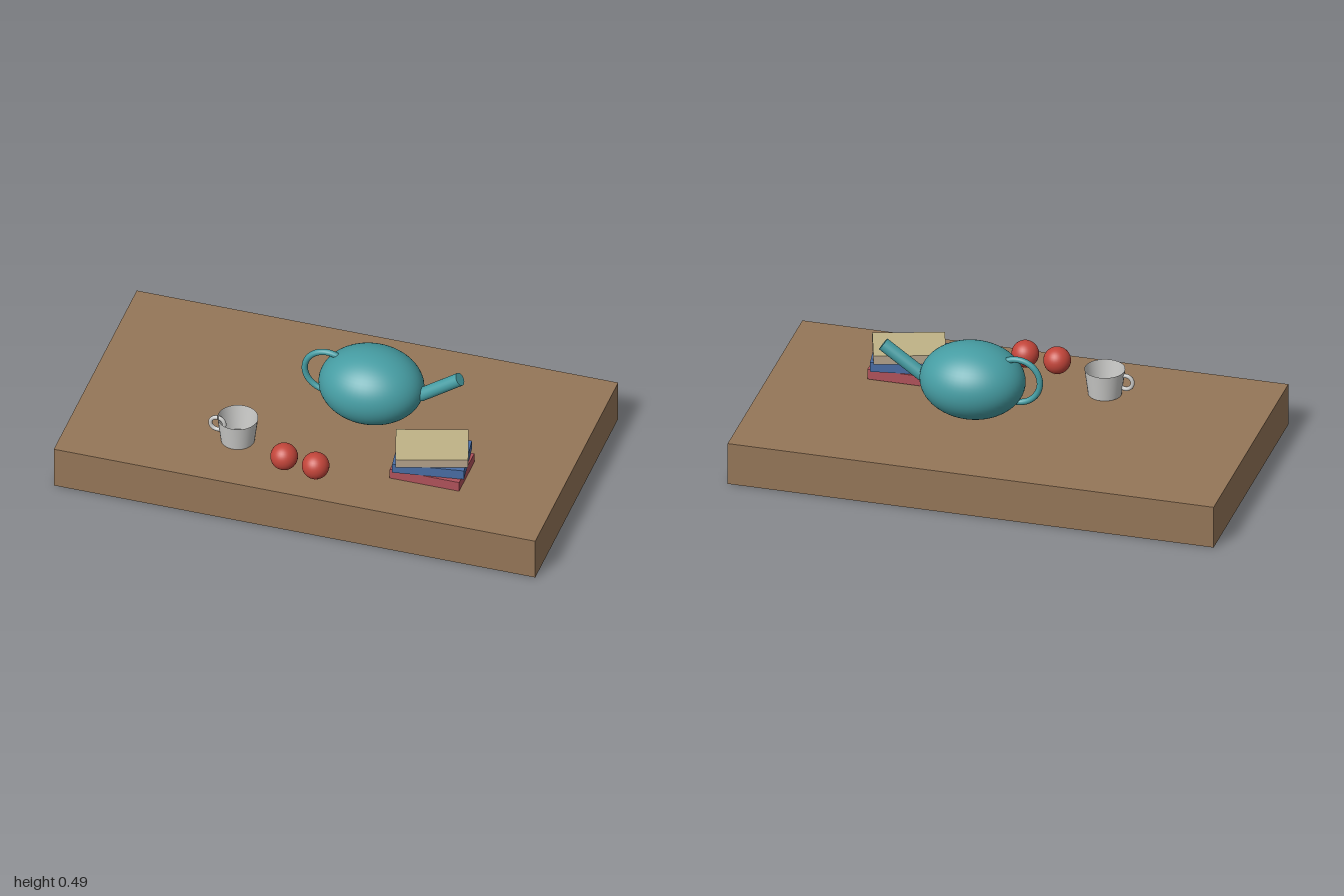
import * as THREE from 'three';

const mat = (name, color, side = THREE.FrontSide) => {
  const m = new THREE.MeshStandardMaterial({ color, side });
  m.name = name;
  return m;
};

export function createModel() {
  const group = new THREE.Group();
  const wood = mat('wood', 0x957658);
  const teal = mat('teal glaze', 0x469da3);
  const china = mat('grey china', 0xcacac8, THREE.DoubleSide);
  const appleRed = mat('apple red', 0xc2453a);
  const bookRed = mat('book red', 0xb0525a);
  const bookBlue = mat('book blue', 0x4a6ea6);
  const cream = mat('cream cover', 0xc0b387);
  const page = mat('page edge', 0xb9a78f);

  const add = (name, geometry, material, x, y, z, parent = group) => {
    const mesh = new THREE.Mesh(geometry, material);
    mesh.name = name;
    mesh.position.set(x, y, z);
    parent.add(mesh);
    return mesh;
  };

  // Table slab
  add('tableTop', new THREE.BoxGeometry(2, 0.18, 1.09), wood, 0, 0.09, 0);

  // Teapot: squashed ball, straight spout, ring handle
  const teapot = new THREE.Group();
  teapot.name = 'teapot';
  teapot.position.set(0.133, 0.337, -0.045);
  group.add(teapot);
  const body = new THREE.SphereGeometry(1, 48, 32).scale(0.213, 0.153, 0.178);
  add('teapotBody', body, teal, 0, 0, 0, teapot);
  const spout = add('teapotSpout', new THREE.CylinderGeometry(0.027, 0.027, 0.2, 24), teal, 0.286, 0.05, 0, teapot);
  spout.rotation.z = -0.96;
  const handle = add('teapotHandle', new THREE.TorusGeometry(0.094, 0.0125, 14, 48, Math.PI * 1.45), teal, -0.183, 0.021, 0, teapot);
  handle.rotation.z = 0.45;

  // Cup: open tapered wall, floor and ring handle
  const cup = new THREE.Group();
  cup.name = 'cup';
  cup.position.set(-0.323, 0.183, 0.268);
  group.add(cup);
  add('cupWall', new THREE.CylinderGeometry(0.081, 0.067, 0.11, 32, 1, true), china, 0, 0.055, 0, cup);
  add('cupFloor', new THREE.CircleGeometry(0.067, 32).rotateX(-Math.PI / 2), china, 0, 0.001, 0, cup);
  add('cupHandle', new THREE.TorusGeometry(0.029, 0.0085, 10, 28), china, -0.085, 0.061, 0, cup);

  // Apples
  for (const [x, z] of [[-0.093, 0.387], [0.044, 0.407]]) {
    add('apple', new THREE.SphereGeometry(0.055, 32, 20), appleRed, x, 0.238, z);
  }

  // Fanned stack of books, the top one with paler page edges
  const creamFaces = [page, page, cream, cream, page, page];
  [[bookRed, 0.205, 0.043, 0], [bookBlue, 0.25, 0.042, 0.15], [creamFaces, 0.291, 0.038, 0.3]].forEach(([m, y, h, turn]) => {
    add('book', new THREE.BoxGeometry(0.288, h, 0.2), m, 0.471, y, 0.228).rotation.y = turn;
  });

  return group;
}
